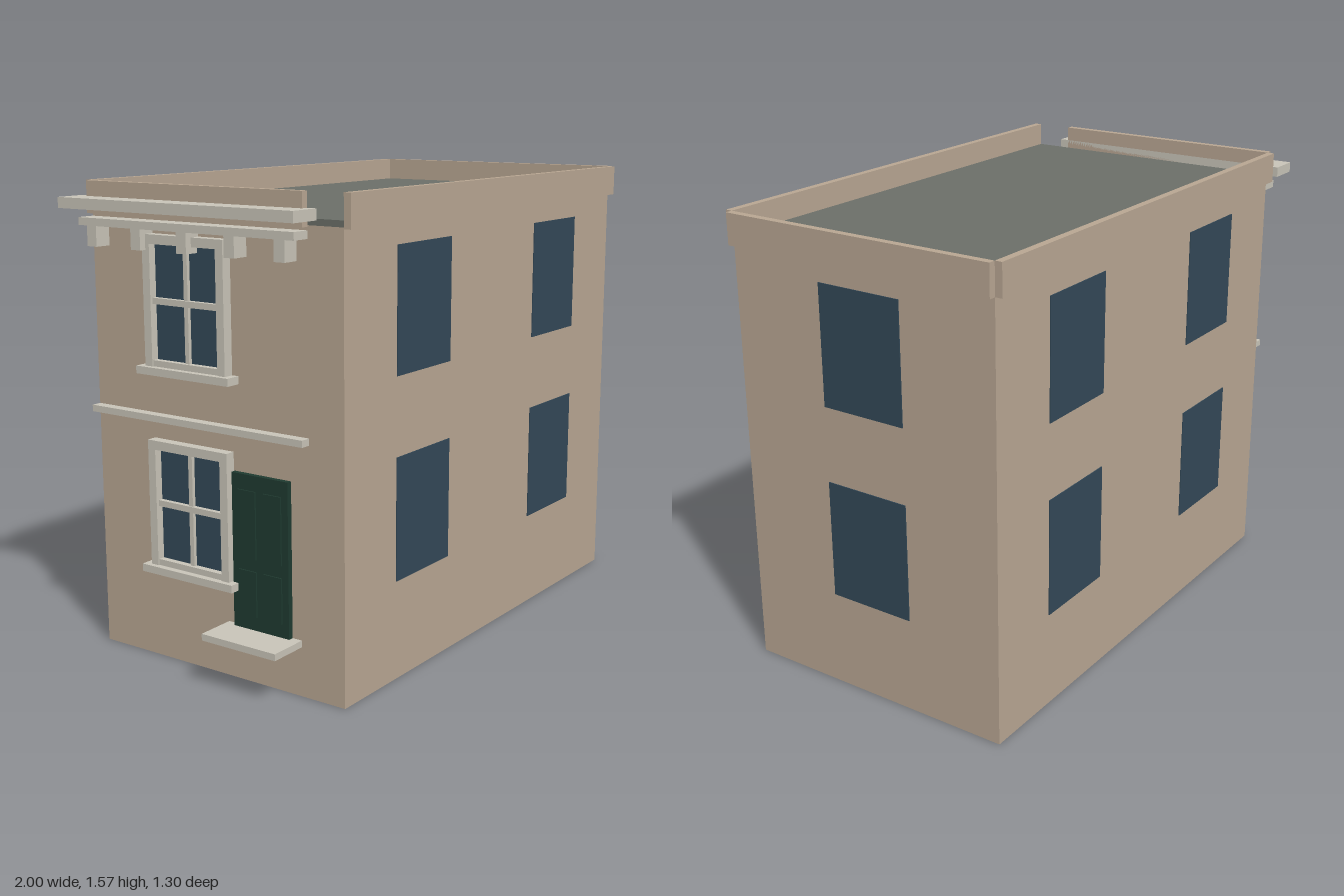
import * as THREE from 'three';

const W = 1.73, D = 1.0, H = 1.47; // wall block size
const mat = (color) => new THREE.MeshStandardMaterial({ color });

export function createModel() {
  const wall = mat(0xb8a692), glass = mat(0x334857), roofing = mat(0x6b6f68);
  const trim = mat(0xc8c4b8), green = mat(0x1f3a30);
  const house = new THREE.Group();
  house.name = 'house';

  // Box given by its minimum and maximum along each axis
  function box(name, material, x0, x1, y0, y1, z0, z1, parent = house) {
    const mesh = new THREE.Mesh(new THREE.BoxGeometry(x1 - x0, y1 - y0, z1 - z0), material);
    mesh.position.set((x0 + x1) / 2, (y0 + y1) / 2, (z0 + z1) / 2);
    mesh.name = name;
    parent.add(mesh);
    return mesh;
  }
  // Box on the street facade (-x wall): along z, up y, standing out from d0 to d1
  const onFacade = (name, material, z0, z1, y0, y1, d1, d0 = 0, parent = house) =>
    box(name, material, -W / 2 - d1, -W / 2 - d0, y0, y1, z0, z1, parent);

  // Walls and roof
  const hx = W / 2, hz = D / 2;
  box('walls', wall, -hx, hx, 0, H, -hz, hz);
  box('roof', roofing, -hx, hx, H, 1.49, -hz, hz);

  // Parapets stand just outside the walls, leaving open notches at the corners
  const p0 = 1.465, p1 = 1.57, t = 0.025;
  const facadeEnd = 0.37;
  box('frontParapet', wall, -hx, hx, p0, p1, hz, hz + t);
  box('backParapet', wall, -hx, hx, p0, p1, -hz - t, -hz);
  box('sideParapet', wall, hx, hx + t, p0, p1, -hz, hz);
  onFacade('facadeParapet', wall, -hz, facadeEnd, p0, p1, t);

  // Plain windows on the other three walls
  const floors = [0.33, 0.993], w = 0.155, h = 0.405, e = 0.003;
  for (const y of floors) {
    for (const x of [-W / 4, W / 4]) {
      box('frontWindow', glass, x - w, x + w, y, y + h, hz, hz + e);
      box('backWindow', glass, x - w, x + w, y, y + h, -hz - e, -hz);
    }
    box('sideWindow', glass, hx, hx + e, y, y + h, -w, w);
  }

  // Framed facade windows with glazing bars and sill
  const zc = -0.09, f = 0.03;
  for (const y of floors) {
    const g = new THREE.Group();
    g.name = 'facadeWindow';
    house.add(g);
    const a = zc - 0.165, b = zc + 0.165, top = y + h + 0.015, mid = y + h / 2 + 0.007;
    onFacade('pane', glass, a + f, b - f, y, top - f, 0.008, 0, g);
    onFacade('jamb', trim, a, a + f, y, top, 0.035, 0, g);
    onFacade('jamb', trim, b - f, b, y, top, 0.035, 0, g);
    onFacade('head', trim, a, b, top - f, top, 0.035, 0, g);
    onFacade('bottomRail', trim, a + f, b - f, y, y + 0.02, 0.03, 0, g);
    onFacade('meetingRail', trim, a + f, b - f, mid - 0.01, mid + 0.01, 0.025, 0, g);
    onFacade('glazingBar', trim, zc - 0.008, zc + 0.008, y, top - f, 0.02, 0, g);
    onFacade('sill', trim, a - 0.025, b + 0.025, y - 0.025, y, 0.052, 0, g);
  }

  // Door with raised panels, and its step
  const dz = 0.19;
  onFacade('door', green, dz - 0.11, dz + 0.11, 0.185, 0.69, 0.018);
  for (const s of [-1, 1])
    for (const [y0, y1] of [[0.23, 0.38], [0.42, 0.64]])
      onFacade('doorPanel', green, dz + s * 0.05 - 0.035, dz + s * 0.05 + 0.035, y0, y1, 0.023, 0.018);
  onFacade('doorStep', trim, dz - 0.146, dz + 0.146, 0.163, 0.185, 0.135);

  // String course between the floors
  onFacade('stringCourse', trim, -hz, facadeEnd, 0.812, 0.834, 0.035);

  // Cornice, lower moulding and brackets
  onFacade('cornice', trim, -0.543, 0.403, 1.485, 1.52, 0.11);
  onFacade('corniceMoulding', trim, -hz, facadeEnd, 1.43, 1.455, 0.065);
  for (let i = 0; i < 5; i++) {
    const z = -0.45 + i * 0.19;
    onFacade('bracket', trim, z - 0.02, z + 0.02, 1.363, 1.43, 0.058);
  }

  // Whole house turned slightly on its plot
  house.rotation.y = THREE.MathUtils.degToRad(8.8);
  house.position.set(0.045, 0, 0.0025);
  const model = new THREE.Group();
  model.name = 'townhouse';
  model.add(house);
  return model;
}
